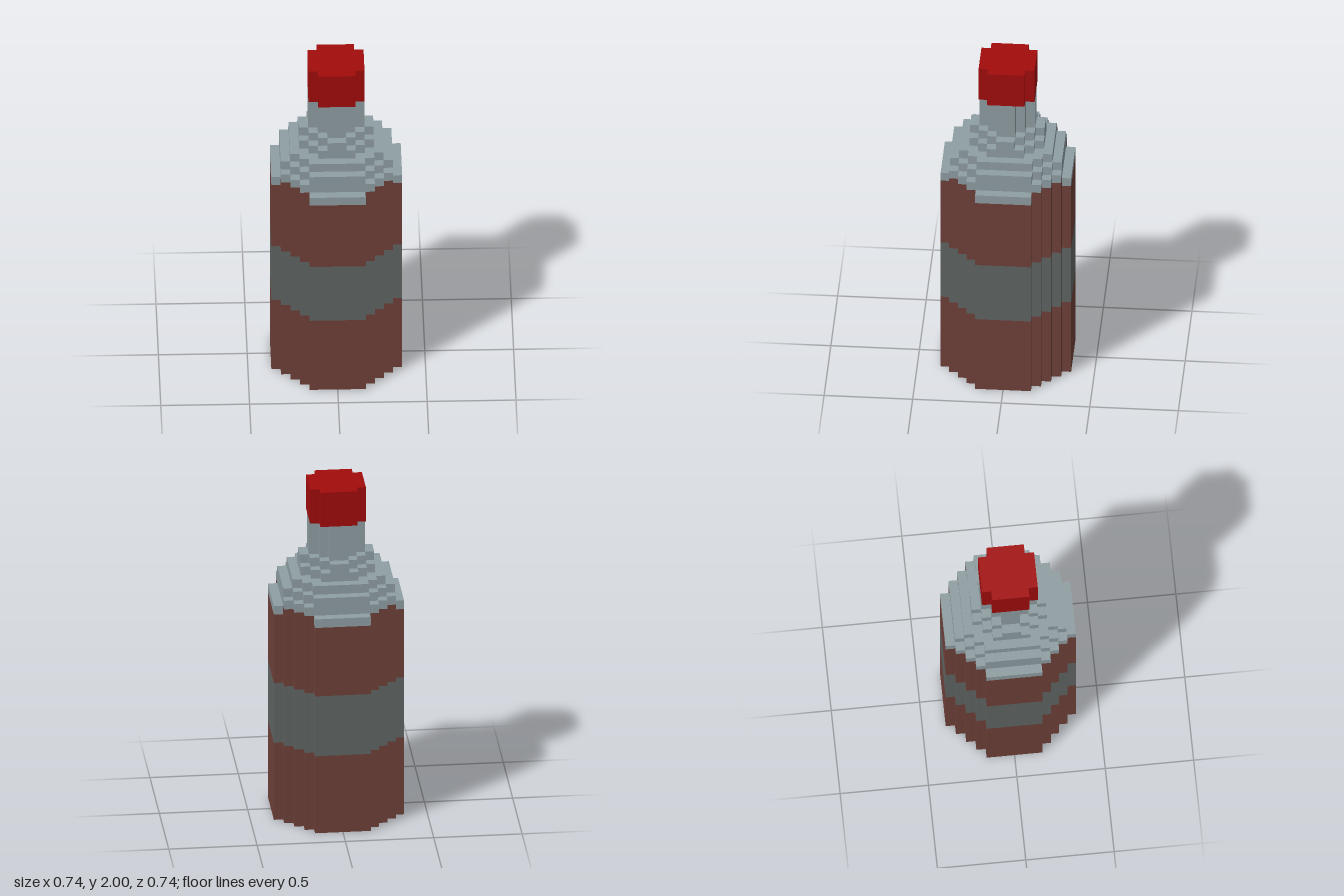
import * as THREE from 'three';

const U = 2 / 38; // one block

const mat = (name, color) => {
  const m = new THREE.MeshStandardMaterial({ color });
  m.name = name;
  return m;
};

// Stepped disc outline: steps[i] is the extent of the column i..i+1 blocks from the centre
function steppedShape(steps) {
  const quarter = [];
  steps.forEach((e, i) => {
    const next = steps[i + 1];
    if (next === e) return;
    quarter.push([i + 1, e]);
    if (next !== undefined) quarter.push([i + 1, next]);
  });
  const points = [];
  let turn = quarter;
  for (let k = 0; k < 4; k++) {
    points.push(...turn.map(([x, y]) => new THREE.Vector2(x * U, y * U)));
    turn = turn.map(([x, y]) => [y, -x]);
  }
  return new THREE.Shape(points);
}

export function createModel() {
  const glass = mat('pale glass', 0x8f9fa3);
  const liquid = mat('brown liquid', 0x70413a);
  const paper = mat('grey label', 0x606664);
  const red = mat('red cap', 0xa30c0c);

  const group = new THREE.Group();
  group.name = 'bottle';

  const layer = (name, material, steps, from, to) => {
    const geo = new THREE.ExtrudeGeometry(steppedShape(steps), { depth: (to - from) * U, bevelEnabled: false });
    geo.rotateX(-Math.PI / 2);
    const mesh = new THREE.Mesh(geo, material);
    mesh.name = name;
    mesh.position.y = from * U;
    group.add(mesh);
  };

  // Body with the label band
  const full = [7, 7, 7, 6, 5, 4, 3];
  const inner = [6, 6, 6, 6, 5, 4];
  layer('lowerBody', liquid, full, 0, 9);
  layer('label', paper, full, 9, 16);
  layer('upperBody', liquid, full, 16, 24);
  layer('bodyTop', liquid, inner, 24, 25);

  // Glass rim strips on the four flat sides
  for (let k = 0; k < 4; k++) {
    const strip = new THREE.Mesh(new THREE.BoxGeometry(6 * U, U, U), glass);
    const a = k * Math.PI / 2;
    strip.name = 'rimStrip';
    strip.position.set(Math.sin(a) * 6.5 * U, 24.5 * U, Math.cos(a) * 6.5 * U);
    strip.rotation.y = a;
    group.add(strip);
  }

  // Stepped shoulder, neck and cap
  layer('shoulder1', glass, inner, 25, 26);
  layer('shoulder2', glass, [6, 6, 6, 5, 4, 3], 26, 27);
  layer('shoulder3', glass, [5, 5, 5, 4, 3], 27, 28);
  layer('shoulder4', glass, [4, 4, 3, 2], 28, 29);
  layer('shoulder5', glass, [4, 3, 2, 1], 29, 30);
  layer('neck', glass, [3, 2, 1], 30, 34);
  layer('cap', red, [3, 3, 2], 34, 38);

  return group;
}
